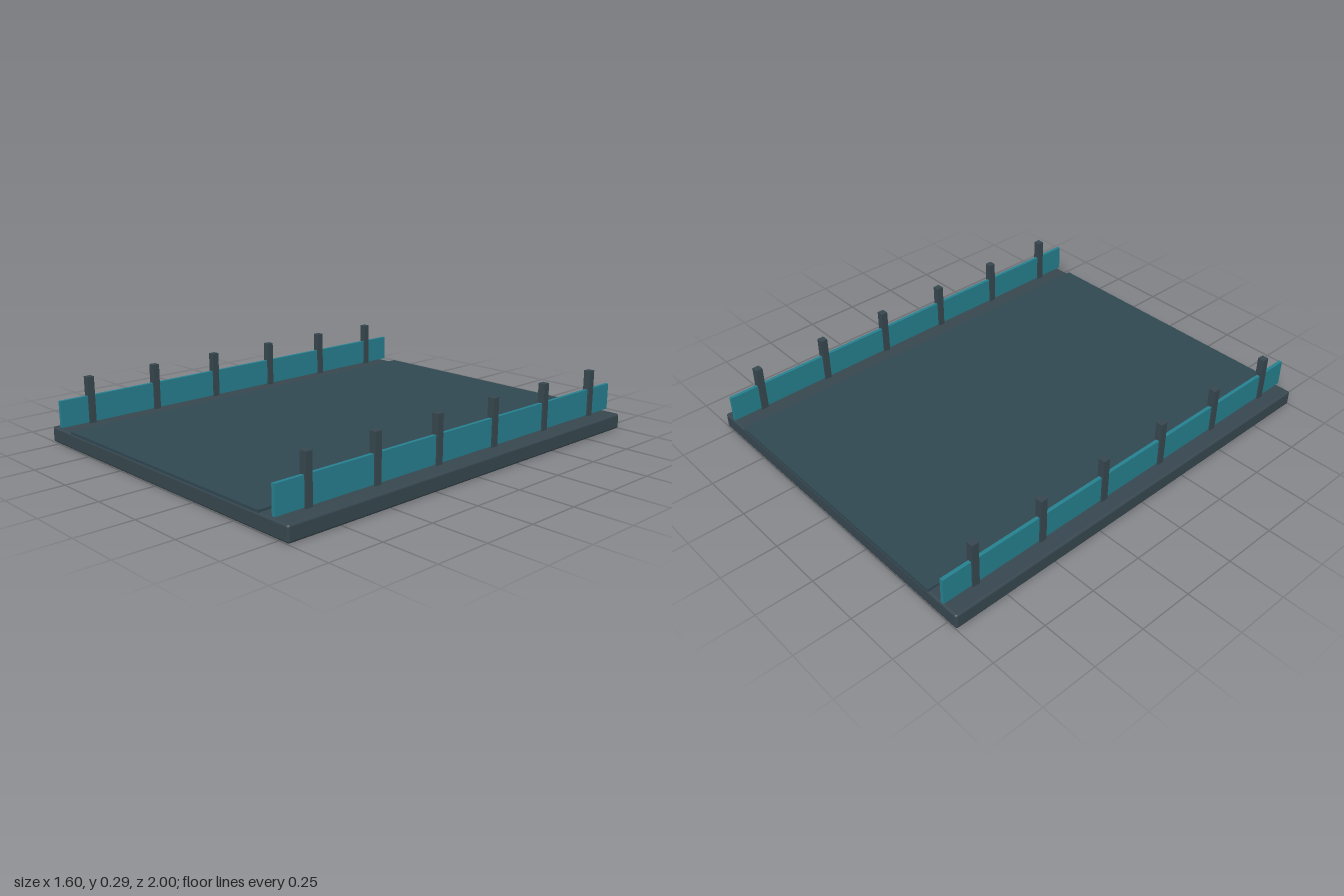
import * as THREE from 'three';
import { RoundedBoxGeometry } from 'three/addons/geometries/RoundedBoxGeometry.js';

export function createModel() {
  const model = new THREE.Group();
  model.name = 'bridgeDeck';
  const slabMat = new THREE.MeshStandardMaterial({ color: 0x37474f });
  const deckMat = new THREE.MeshStandardMaterial({ color: 0x304852 });
  const panelMat = new THREE.MeshStandardMaterial({ color: 0x26808f });

  const add = (name, geometry, material, x, y, z, parent = model) => {
    const mesh = new THREE.Mesh(geometry, material);
    mesh.name = name;
    mesh.position.set(x, y, z);
    parent.add(mesh);
  };

  // Slab with softened edges, and the thin road surface on it
  add('baseSlab', new RoundedBoxGeometry(1.6, 0.07, 2, 2, 0.01), slabMat, 0, 0.035, 0);
  add('roadSurface', new THREE.BoxGeometry(1.28, 0.012, 2), deckMat, 0, 0.075, 0);

  // A railing along each side: one long panel held by six posts
  const postGeometry = new THREE.BoxGeometry(0.032, 0.21, 0.032);
  const panelGeometry = new THREE.BoxGeometry(0.016, 0.12, 2);
  for (const side of [-1, 1]) {
    const railing = new THREE.Group();
    railing.name = side > 0 ? 'leftRailing' : 'rightRailing';
    railing.position.x = side * 0.723;
    model.add(railing);
    add('railPanel', panelGeometry, panelMat, 0, 0.14, 0, railing);
    for (let i = 0; i < 6; i++) {
      add('railPost', postGeometry, slabMat, 0, 0.181, -0.85 + i * 0.34, railing);
    }
  }
  return model;
}
